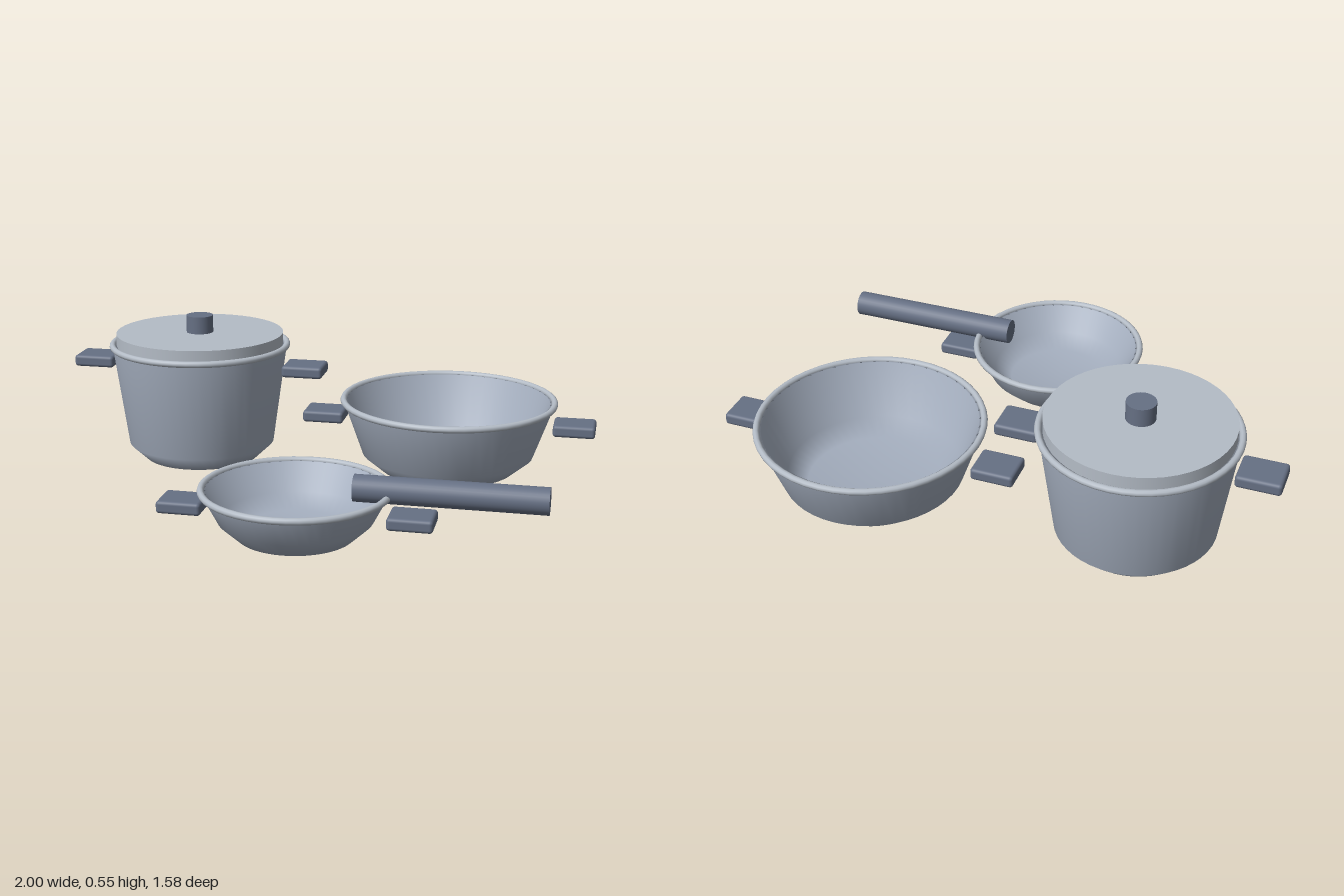
import * as THREE from 'three';
import { RoundedBoxGeometry } from 'three/addons/geometries/RoundedBoxGeometry.js';

const SEGMENTS = 48;
const steel = new THREE.MeshStandardMaterial({ color: 0xa3adbd });
const lidSteel = new THREE.MeshStandardMaterial({ color: 0xb4bcc6 });
const grip = new THREE.MeshStandardMaterial({ color: 0x667084 });

function add(parent, name, geometry, material, x = 0, y = 0, z = 0) {
  const mesh = new THREE.Mesh(geometry, material);
  mesh.name = name;
  mesh.position.set(x, y, z);
  parent.add(mesh);
  return mesh;
}

// Hollow vessel with a rolled rim and two side grips
function makeVessel({ name, x, z, base, knee, top, height, gripX, gripY }) {
  const vessel = new THREE.Group();
  vessel.name = name;
  vessel.position.set(x, 0, z);

  // Outside from the base centre to the rim, then back down the inside
  const wall = 0.018;
  const profile = [
    [0, 0.003], [base, 0.003], [knee, 0.06], [top, height],
    [top - wall, height], [knee - wall, 0.07], [base - wall, 0.022], [0, 0.022],
  ].map(([r, y]) => new THREE.Vector2(r, y));
  add(vessel, 'body', new THREE.LatheGeometry(profile, SEGMENTS), steel);

  const rim = new THREE.TorusGeometry(top, 0.012, 10, SEGMENTS).rotateX(Math.PI / 2);
  add(vessel, 'rim', rim, lidSteel, 0, height, 0);

  for (const side of [-1, 1]) {
    const geometry = new RoundedBoxGeometry(0.155, 0.044, 0.133, 3, 0.012);
    add(vessel, side < 0 ? 'rightGrip' : 'leftGrip', geometry, grip, side * gripX, gripY, 0);
  }
  return vessel;
}

export function createModel() {
  const set = new THREE.Group();
  set.name = 'cookwareSet';

  // Tall pot with lid and knob
  const pot = makeVessel({
    name: 'pot', x: -0.512, z: -0.345, base: 0.22, knee: 0.28, top: 0.334,
    height: 0.442, gripX: 0.412, gripY: 0.364,
  });
  add(pot, 'lid', new THREE.CylinderGeometry(0.319, 0.319, 0.045, SEGMENTS), lidSteel, 0, 0.467, 0);
  add(pot, 'lidKnob', new THREE.CylinderGeometry(0.051, 0.051, 0.066, 32), grip, 0, 0.522, 0);

  // Wide deep pan
  const widePan = makeVessel({
    name: 'widePan', x: 0.447, z: -0.383, base: 0.255, knee: 0.323, top: 0.396,
    height: 0.264, gripX: 0.4725, gripY: 0.184,
  });

  // Shallow frying pan with a long handle
  const fryingPan = makeVessel({
    name: 'fryingPan', x: 0.048, z: 0.458, base: 0.2, knee: 0.262, top: 0.316,
    height: 0.163, gripX: 0.392, gripY: 0.084,
  });
  const longHandle = new THREE.CylinderGeometry(0.046, 0.046, 0.64, 32).rotateZ(Math.PI / 2);
  add(fryingPan, 'longHandle', longHandle, grip, 0.517, 0.182, 0);

  set.add(pot, widePan, fryingPan);
  return set;
}
